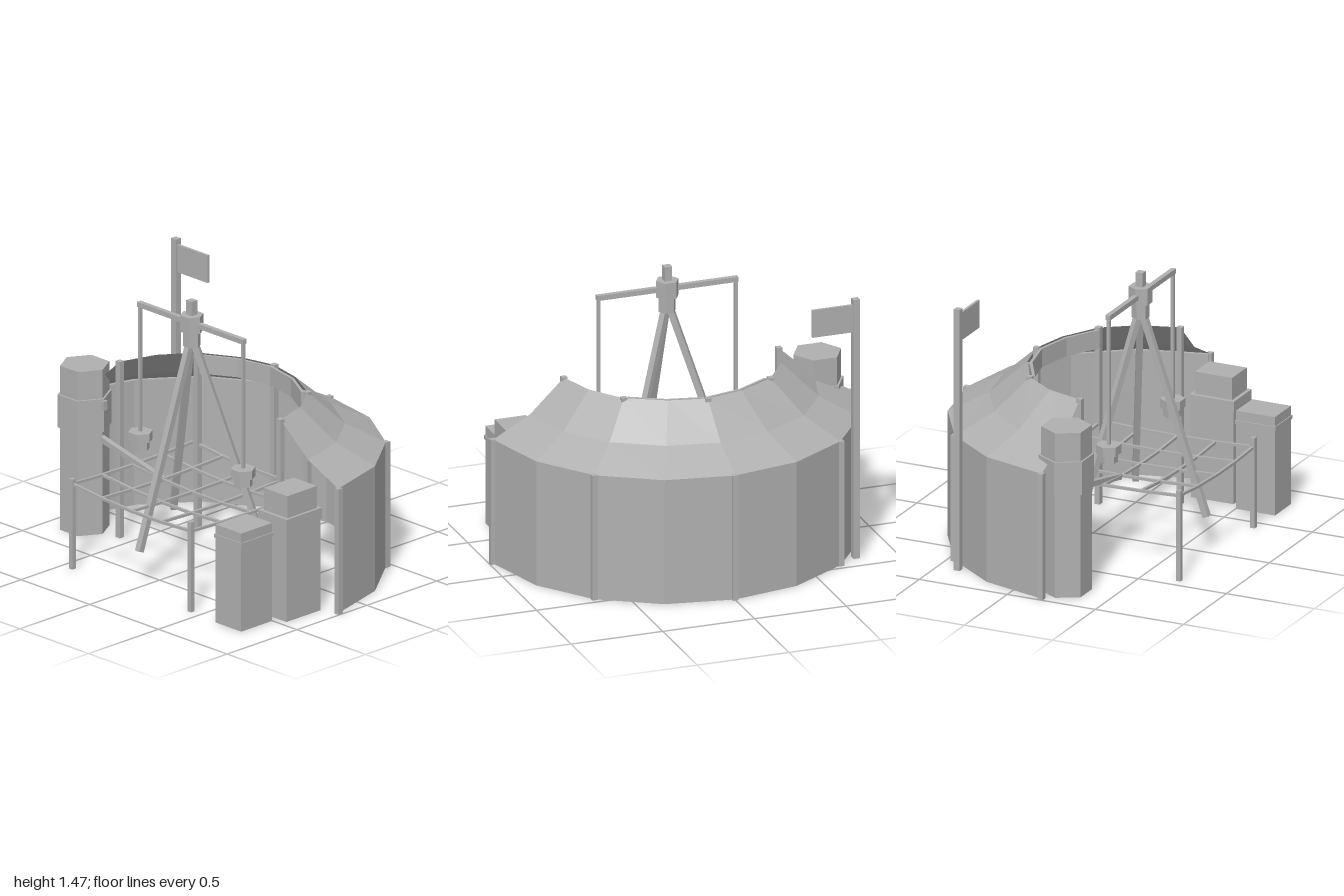
import * as THREE from 'three';

export function createModel() {
  const model = new THREE.Group();
  const grey = new THREE.MeshStandardMaterial({ color: 0xb0b0b0, flatShading: true, side: THREE.DoubleSide });
  grey.name = 'plain grey';

  function add(name, geometry, x = 0, y = 0, z = 0) {
    const mesh = new THREE.Mesh(geometry, grey);
    mesh.name = name;
    mesh.position.set(x, y, z);
    model.add(mesh);
    return mesh;
  }
  // box standing on y0 and reaching y1
  const box = (name, x, z, w, d, y0, y1) =>
    add(name, new THREE.BoxGeometry(w, y1 - y0, d), x, (y0 + y1) / 2, z);
  // hexagonal prism with corners towards +x and -x
  const hex = (name, x, z, r, y0, y1) =>
    add(name, new THREE.CylinderGeometry(r, r, y1 - y0, 6).rotateY(Math.PI / 6), x, (y0 + y1) / 2, z);
  // square bar between two points
  function bar(name, a, b, w, h = w) {
    const p = new THREE.Vector3(...a), q = new THREE.Vector3(...b);
    const mesh = add(name, new THREE.BoxGeometry(w, h, p.distanceTo(q)));
    mesh.position.copy(p).add(q).multiplyScalar(0.5);
    mesh.lookAt(q);
    return mesh;
  }
  // half outline (from the end to the back centre) mirrored to a full arc
  const mirrorArc = half => [...half.map(([x, z]) => [-x, z]), ...half.slice(0, -1).reverse()];

  const outer = mirrorArc([[0.98, 0.185], [0.88, -0.176], [0.67, -0.46], [0.36, -0.65], [0, -0.715]]);
  const inner = mirrorArc([[0.585, 0.21], [0.525, 0.01], [0.4, -0.165], [0.2, -0.275], [0, -0.32]]);

  // Curved wall with a little thickness
  const wallInside = outer.map(([x, z]) => [x * 0.98, (z - 0.25) * 0.98 + 0.25]);
  const outline = [...outer, ...wallInside.reverse()].map(([x, z]) => new THREE.Vector2(x, -z));
  const wall = new THREE.ExtrudeGeometry(new THREE.Shape(outline), { depth: 0.68, bevelEnabled: false });
  add('curvedWall', wall.rotateX(-Math.PI / 2));

  // Sagging canopy: three rings from the wall up to the inner edge
  const middle = outer.map(([x, z], i) => [x + (inner[i][0] - x) * 0.52, z + (inner[i][1] - z) * 0.52]);
  const rings = [[outer, 0.68], [middle, 0.785], [inner, 0.957]];
  const points = rings.flatMap(([ring, y]) => ring.flatMap(([x, z]) => [x, y, z]));
  const index = [], n = outer.length;
  for (let r = 0; r < 2; r++) for (let i = 0; i < n - 1; i++) {
    const a = r * n + i, b = a + n;
    index.push(a, b + 1, b, a, a + 1, b + 1);
  }
  index.forEach((v, i) => { if (i % 3 === 1) [index[i], index[i + 1]] = [index[i + 1], v]; });
  for (let i = 0; i < index.length; i += 3) {
    // keep the upper side as the front of each face
    const [p, q, s] = [0, 1, 2].map(k => new THREE.Vector3().fromArray(points, index[i + k] * 3));
    if (q.sub(p).cross(s.sub(p)).y < 0) [index[i + 1], index[i + 2]] = [index[i + 2], index[i + 1]];
  }
  const canopy = new THREE.BufferGeometry();
  canopy.setAttribute('position', new THREE.Float32BufferAttribute(points, 3));
  canopy.setIndex(index);
  const canopyFlat = canopy.toNonIndexed();
  canopyFlat.computeVertexNormals();
  add('canopy', canopyFlat);

  // Valance hanging under the inner canopy edge
  const valance = mirrorArc([[0.375, -0.155], [0.2, -0.255], [0, -0.298]]);
  for (let i = 0; i < valance.length - 1; i++) {
    const [a, b] = [valance[i], valance[i + 1]];
    bar('valance', [a[0], 0.905, a[1]], [b[0], 0.905, b[1]], 0.015, 0.1);
  }

  // Wall posts and taller inner posts
  for (const i of [0, 2, 4, 6, 8]) {
    box('wallPost', outer[i][0] * 1.003, outer[i][1], 0.03, 0.03, 0, 0.684);
    box('canopyPost', inner[i][0], inner[i][1], 0.03, 0.03, 0, 0.962);
  }

  // Flag
  box('flagPole', -0.782, -0.385, 0.036, 0.034, 0, 1.42);
  box('flag', -0.655, -0.385, 0.22, 0.014, 1.24, 1.39);

  // Tripod with hub
  const tz = 0.27;
  for (let k = 0; k < 3; k++) {
    const a = k * Math.PI * 2 / 3, s = Math.sin(a), c = Math.cos(a);
    bar('tripodLeg', [s * 0.01, 1.25, tz + c * 0.01], [s * 0.375, 0.195, tz + c * 0.375], 0.033);
  }
  hex('hubBase', 0, tz, 0.046, 1.22, 1.3);
  hex('hub', 0, tz, 0.061, 1.3, 1.39);
  box('hubCap', 0, tz, 0.04, 0.04, 1.39, 1.467);

  // Cross arm with hanging pots
  box('crossArm', 0, tz, 0.77, 0.026, 1.33, 1.357);
  for (const x of [-0.374, 0.374]) {
    box('hangingRod', x, tz, 0.016, 0.018, 0.65, 1.34);
    hex('potRim', x, tz, 0.065, 0.604, 0.652);
    hex('pot', x, tz, 0.049, 0.557, 0.604);
  }

  // Sagging lattice on corner posts
  const half = 0.432;
  const node = (i, j) => {
    const u = i / 2 - 1, v = j / 2 - 1;
    return [u * half, 0.45 - 0.02 * (1 - u * u) - 0.012 * (1 - v * v) - 0.012 * u, 0.268 + v * half];
  };
  for (let i = 0; i < 5; i++) for (let j = 0; j < 4; j++) {
    bar('latticeLongBar', node(i, j), node(i, j + 1), 0.014);
    bar('latticeCrossBar', node(j, i), node(j + 1, i), 0.014);
  }
  for (const x of [-half, half]) box('latticePost', x, 0.7, 0.025, 0.025, 0, 0.49);

  // Hexagonal tower with spout
  hex('towerBody', -0.808, 0.242, 0.13, 0, 0.56);
  hex('towerCollar', -0.808, 0.242, 0.142, 0.56, 0.74);
  hex('towerTop', -0.808, 0.242, 0.13, 0.74, 0.895);
  box('towerHandle', -0.668, 0.242, 0.022, 0.03, 0.68, 0.73);
  bar('spout', [-0.69, 0.52, 0.24], [-0.22, 0.424, 0.257], 0.029);

  // Front bin
  box('frontBinBody', 0.728, 0.613, 0.186, 0.22, 0, 0.535);
  box('frontBinBand', 0.728, 0.613, 0.198, 0.23, 0.464, 0.484);

  // Rear bin
  box('rearBinBody', 0.787, 0.34, 0.194, 0.242, 0, 0.5);
  box('rearBinLid', 0.787, 0.34, 0.207, 0.252, 0.5, 0.56);
  box('rearBinTop', 0.79, 0.34, 0.17, 0.212, 0.56, 0.68);

  return model;
}
